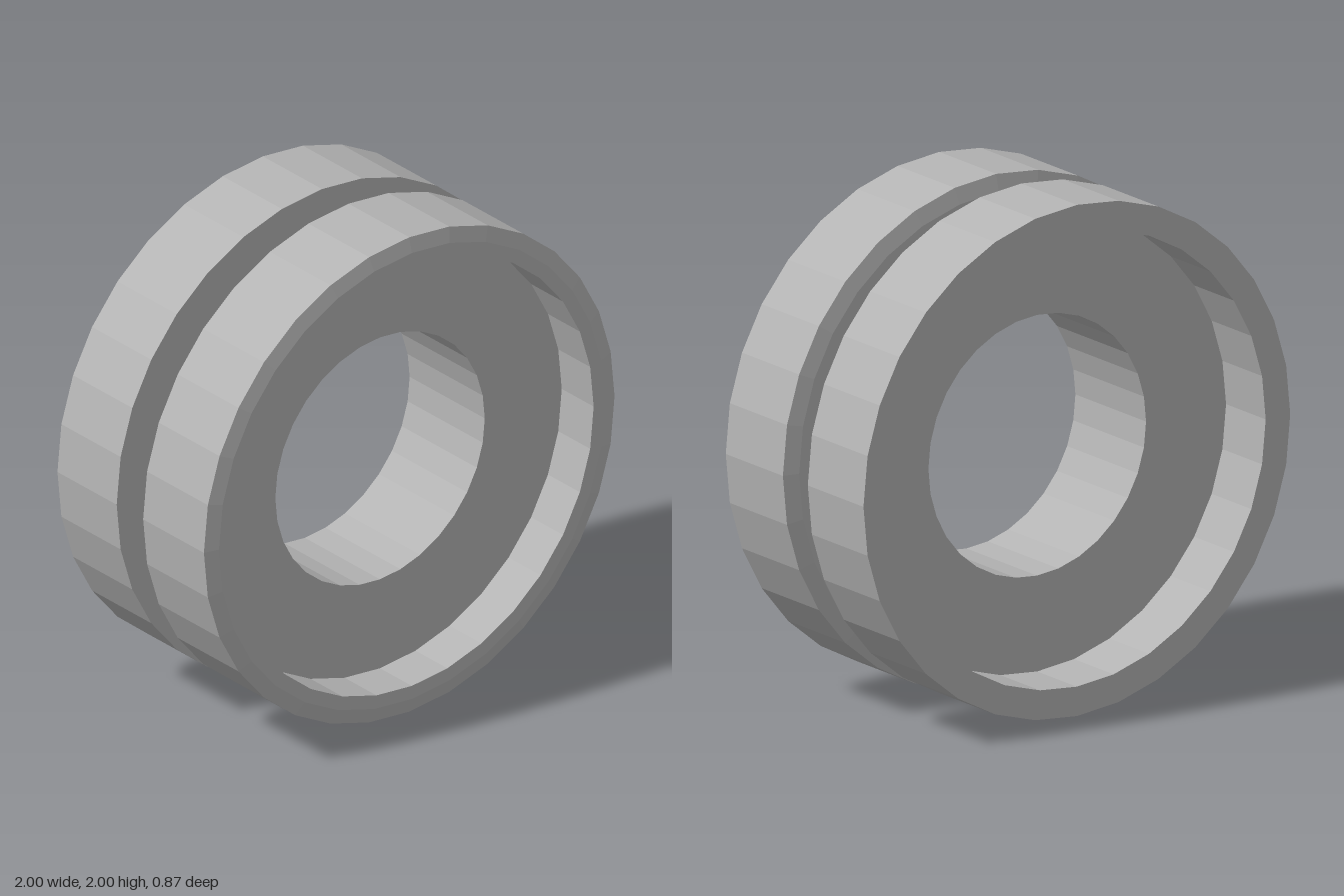
import * as THREE from 'three';

const SIDES = 32;

export function createModel() {
  const model = new THREE.Group();
  model.name = 'groovedRing';
  const grey = new THREE.MeshStandardMaterial({ color: 0xb4b4b4, flatShading: true });
  grey.name = 'grey';

  // Turn a [radius, z] profile about the z axis; profiles run counterclockwise
  function turned(name, profile) {
    const points = profile.map(([r, z]) => new THREE.Vector2(r, z));
    const geometry = new THREE.LatheGeometry(points, SIDES).rotateX(Math.PI / 2);
    const mesh = new THREE.Mesh(geometry, grey);
    mesh.name = name;
    mesh.position.y = 1;
    model.add(mesh);
  }

  const bore = 0.51, lip = 0.885, groove = 0.625;
  const frontFloor = 0.25, backFloor = -0.19;
  const grooveFront = 0.05, grooveBack = -0.09;

  // Plain back flange: lip, outer wall and groove side
  turned('backFlange', [[lip, -0.437], [1, -0.437], [1, grooveBack], [groove, grooveBack]]);
  turned('grooveCore', [[groove, grooveBack], [groove, grooveFront]]);
  // Front flange with a shallow chamfer on both edges
  turned('frontFlange', [
    [groove, grooveFront], [0.935, grooveFront], [1, 0.065],
    [1, 0.421], [0.94, 0.437], [lip, 0.437],
  ]);
  // Recesses on both faces and the through hole
  turned('frontRecess', [[lip, 0.437], [lip, frontFloor], [bore, frontFloor]]);
  turned('centreBore', [[bore, frontFloor], [bore, backFloor]]);
  turned('backRecess', [[bore, backFloor], [lip, backFloor], [lip, -0.437]]);

  return model;
}
